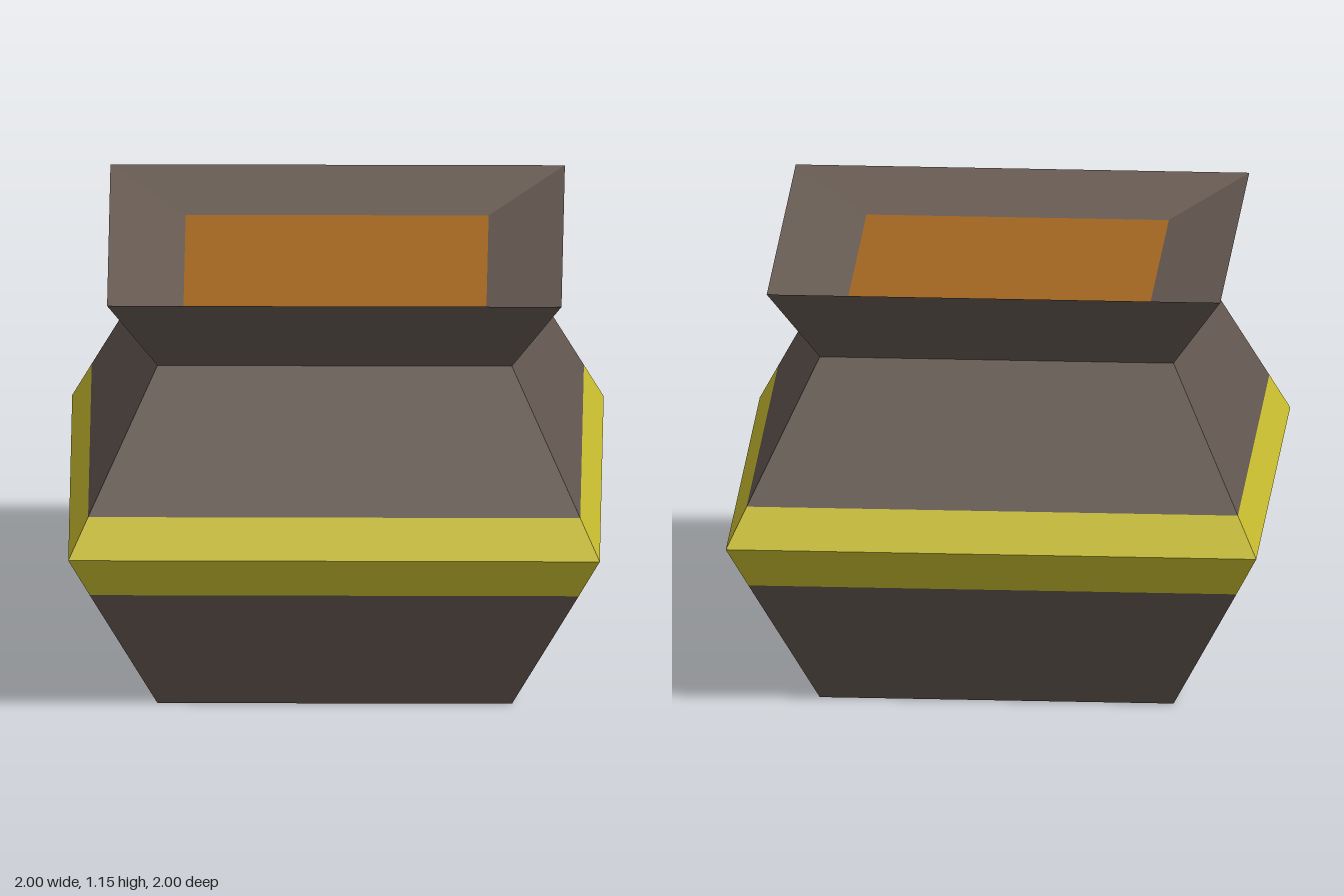
import * as THREE from 'three';

// Four-sided ring surface with its corners on the x and z axes
function square(name, color, profile) {
  const points = profile.map(([r, y]) => new THREE.Vector2(r, y));
  const mesh = new THREE.Mesh(
    new THREE.LatheGeometry(points, 4),
    new THREE.MeshStandardMaterial({ color, flatShading: true })
  );
  mesh.name = name;
  return mesh;
}

export function createModel() {
  const pot = new THREE.Group();
  pot.name = 'pot';
  const clay = 0x665a52, yellow = 0xccc030, orange = 0xa06520;

  // Base and lower flare
  pot.add(square('lowerBody', clay, [[0, 0], [0.667, 0], [0.92, 0.36]]));

  // Painted band around the widest edge
  pot.add(square('band', yellow, [[0.92, 0.36], [1, 0.475], [0.926, 0.58]]));

  // Shoulder, neck, flared rim and the sloping inner wall
  pot.add(square('upperBody', clay, [[0.926, 0.58], [0.667, 0.945], [0.855, 1.155], [0.57, 1.08]]));

  // Filling inside the rim
  pot.add(square('filling', orange, [[0.57, 1.08], [0, 1.08]]));

  return pot;
}
